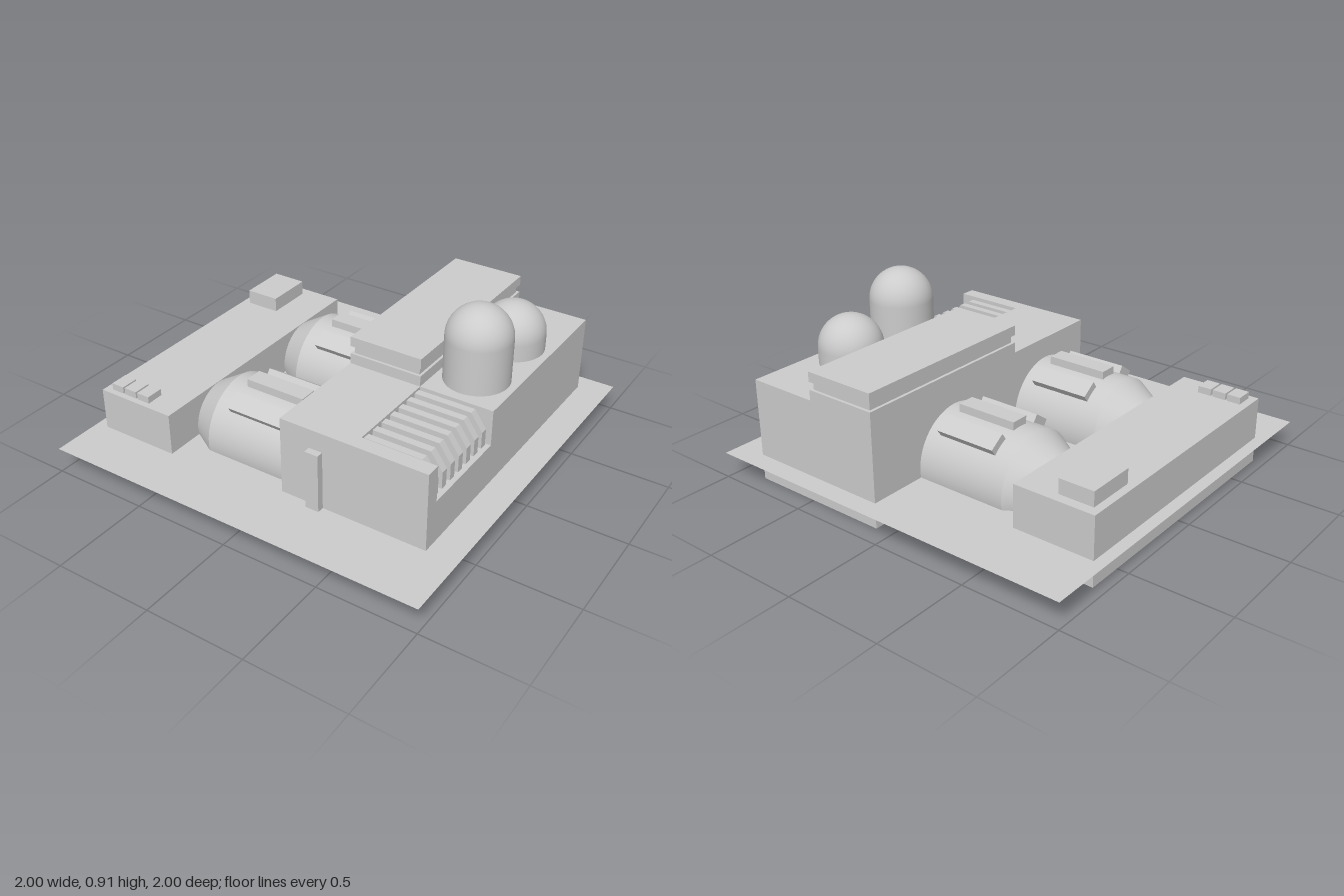
import * as THREE from 'three';
import { toCreasedNormals } from 'three/addons/utils/BufferGeometryUtils.js';

const grey = new THREE.MeshStandardMaterial({ color: 0xcccccc });
const greyOpen = new THREE.MeshStandardMaterial({ color: 0xcccccc, side: THREE.DoubleSide });

export function createModel() {
  const model = new THREE.Group();

  const add = (name, geometry, material = grey, parent = model) => {
    const mesh = new THREE.Mesh(geometry, material);
    mesh.name = name;
    parent.add(mesh);
    return mesh;
  };

  // Box given by its limits on each axis; open boxes lose their underside
  const box = (name, [x0, x1], [y0, y1], [z0, z1], open = false, parent = model) => {
    const g = new THREE.BoxGeometry(x1 - x0, y1 - y0, z1 - z0);
    g.translate((x0 + x1) / 2, (y0 + y1) / 2, (z0 + z1) / 2);
    if (open) {
      const index = Array.from(g.index.array);
      index.splice(18, 6);
      g.setIndex(index);
      g.clearGroups();
    }
    return add(name, g, open ? greyOpen : grey, parent);
  };

  // Thin ground sheet, with the building walls reaching below it
  const ground = new THREE.PlaneGeometry(2, 2);
  ground.rotateX(-Math.PI / 2);
  ground.translate(0, 0.13, 0);
  add('groundSheet', ground, greyOpen);

  // Long low building with roof hut and three small roof units
  box('lowBuilding', [-0.94, -0.52], [0, 0.345], [-0.68, 0.73], true);
  box('roofHut', [-0.9, -0.72], [0.345, 0.42], [-0.63, -0.38]);
  for (let i = 0; i < 3; i++) {
    const x = -0.9 + i * 0.08;
    box('roofUnit', [x, x + 0.07], [0.345, 0.38], [0.61, 0.7]);
  }

  // Main building, with a recess for the vent at its front left corner
  const main = new THREE.Group();
  main.name = 'mainBuilding';
  model.add(main);
  box('mainBase', [0.09, 0.845], [0, 0.345], [-0.9, 0.675], true, main);
  box('mainRightUpper', [0.09, 0.47], [0.345, 0.527], [-0.9, 0.675], false, main);
  box('mainBackUpper', [0.47, 0.845], [0.345, 0.527], [-0.9, 0.11], false, main);
  box('mainFrontUpper', [0.47, 0.845], [0.345, 0.527], [0.6, 0.675], false, main);
  box('frontDuct', [0.245, 0.315], [0.09, 0.43], [0.67, 0.71], true, main);

  // Vent fins with a chamfered outer corner
  const fin = new THREE.Shape();
  [[0.47, 0.345], [0.82, 0.345], [0.82, 0.43], [0.76, 0.515], [0.47, 0.515]]
    .forEach(([x, y], i) => (i ? fin.lineTo(x, y) : fin.moveTo(x, y)));
  const finGeometry = new THREE.ExtrudeGeometry(fin, { depth: 0.037, bevelEnabled: false });
  for (let i = 0; i < 7; i++) {
    add('ventFin', finGeometry).position.z = 0.12 + i * 0.071;
  }

  // Roof gallery with a groove running round it
  box('galleryFoot', [0.09, 0.47], [0.527, 0.58], [-0.9, 0.11]);
  box('galleryGroove', [0.105, 0.457], [0.58, 0.62], [-0.885, 0.095]);
  box('galleryRoof', [0.09, 0.47], [0.62, 0.67], [-0.9, 0.11]);

  // Two domed silos of different heights
  const silo = (name, z, shoulder) => {
    const r = 0.16;
    const profile = [new THREE.Vector2(r, 0.527)];
    for (let i = 0; i <= 12; i++) {
      const a = (i / 12) * Math.PI / 2;
      profile.push(new THREE.Vector2(i === 12 ? 0 : r * Math.cos(a), shoulder + r * Math.sin(a)));
    }
    add(name, new THREE.LatheGeometry(profile, 36)).position.set(0.65, 0, z);
  };
  silo('tallSilo', -0.1, 0.75);
  silo('shortSilo', -0.46, 0.61);

  // Two lying tanks, open along the bottom, tapered towards the low building
  const tankProfile = [[0.17, -0.525], [0.25, -0.39], [0.25, 0.13]]
    .map(([r, x]) => new THREE.Vector2(r, x));
  const shell = new THREE.LatheGeometry(tankProfile, 30, -1.125 * Math.PI, 1.25 * Math.PI);
  shell.rotateZ(-Math.PI / 2);
  const tankGeometry = toCreasedNormals(shell, 0.4);
  for (const z of [-0.35, 0.36]) {
    const tank = new THREE.Group();
    tank.name = 'tank';
    tank.position.set(0, 0.17, z);
    model.add(tank);
    add('tankShell', tankGeometry, greyOpen, tank);
    // Raised panels fanned across the top
    for (const a of [-35, 0, 35]) {
      const panel = box('tankPanel', [-0.3, 0.02], [0.235, 0.286], [-0.046, 0.046], false, tank);
      panel.rotation.x = THREE.MathUtils.degToRad(a);
    }
  }

  return model;
}
